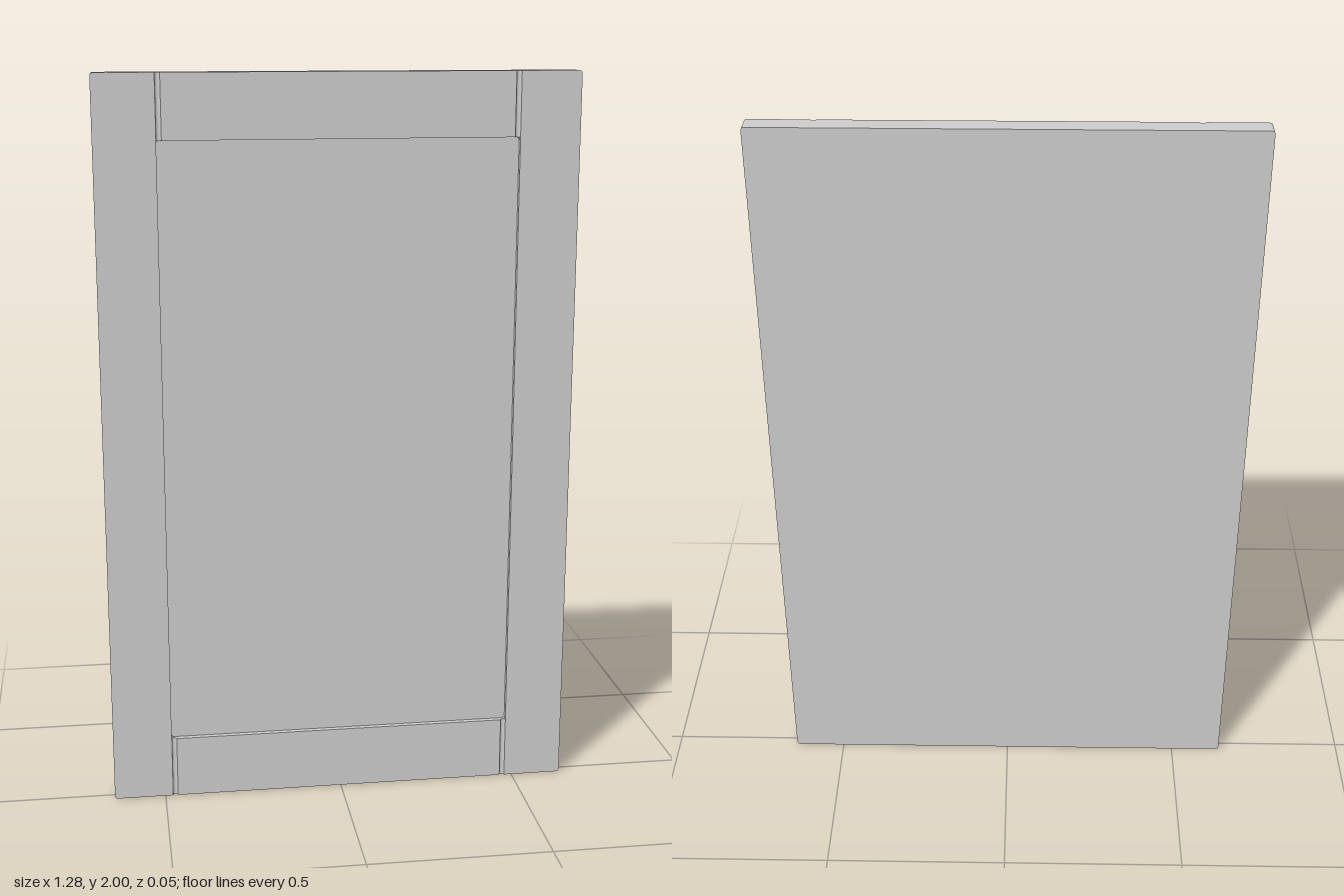
import * as THREE from 'three';

const W = 0.642, H = 2, Z = 0.026;        // half width, height, half thickness
const OX = 0.479, Y0 = 0.172, Y1 = 1.828; // panel opening
const R = 0.01, GROOVE = 0.007, PANEL_Z = 0.011;

export function createModel() {
  const group = new THREE.Group();
  const material = new THREE.MeshStandardMaterial({ color: 0xcccccc });

  const add = (name, geometry) => {
    const mesh = new THREE.Mesh(geometry, material);
    mesh.name = name;
    group.add(mesh);
    return mesh;
  };
  const extrude = (shape, depth) =>
    new THREE.ExtrudeGeometry(shape, { depth, bevelEnabled: false, curveSegments: 6 });

  // Stiles: full-height side boards with rounded outer corners
  for (const s of [1, -1]) {
    const shape = new THREE.Shape();
    shape.moveTo(s * OX, 0);
    shape.lineTo(s * (W - R), 0);
    shape.quadraticCurveTo(s * W, 0, s * W, R);
    shape.lineTo(s * W, H - R);
    shape.quadraticCurveTo(s * W, H, s * (W - R), H);
    shape.lineTo(s * OX, H);
    add(s > 0 ? 'leftStile' : 'rightStile', extrude(shape, 2 * Z)).position.z = -Z;
  }

  // Rails: cross boards with a round groove beside each stile
  const profile = new THREE.Shape();
  const gx = OX - GROOVE;
  profile.moveTo(-OX, Z);
  profile.lineTo(OX, Z);
  profile.lineTo(OX, -Z);
  profile.absarc(gx, -Z, GROOVE, 0, Math.PI, false);
  profile.lineTo(-gx + GROOVE, -Z);
  profile.absarc(-gx, -Z, GROOVE, 0, Math.PI, false);
  for (const [name, y0, y1] of [['bottomRail', 0, Y0], ['topRail', Y1, H]]) {
    const geometry = extrude(profile, y1 - y0);
    geometry.rotateX(-Math.PI / 2);
    add(name, geometry).position.y = y0;
  }

  // Recessed centre panel, flush with the frame at the back
  const panel = new THREE.BoxGeometry(2 * OX, Y1 - Y0, PANEL_Z + Z);
  add('centrePanel', panel).position.set(0, (Y0 + Y1) / 2, (PANEL_Z - Z) / 2);

  // Small fillets in the corners of the opening
  for (const sx of [1, -1]) {
    for (const sy of [1, -1]) {
      const x = sx * OX, y = sy > 0 ? Y1 : Y0;
      const shape = new THREE.Shape();
      shape.moveTo(x, y);
      shape.lineTo(x - sx * R, y);
      shape.quadraticCurveTo(x, y, x, y - sy * R);
      add('openingFillet', extrude(shape, Z - GROOVE - PANEL_Z)).position.z = PANEL_Z;
    }
  }
  return group;
}
